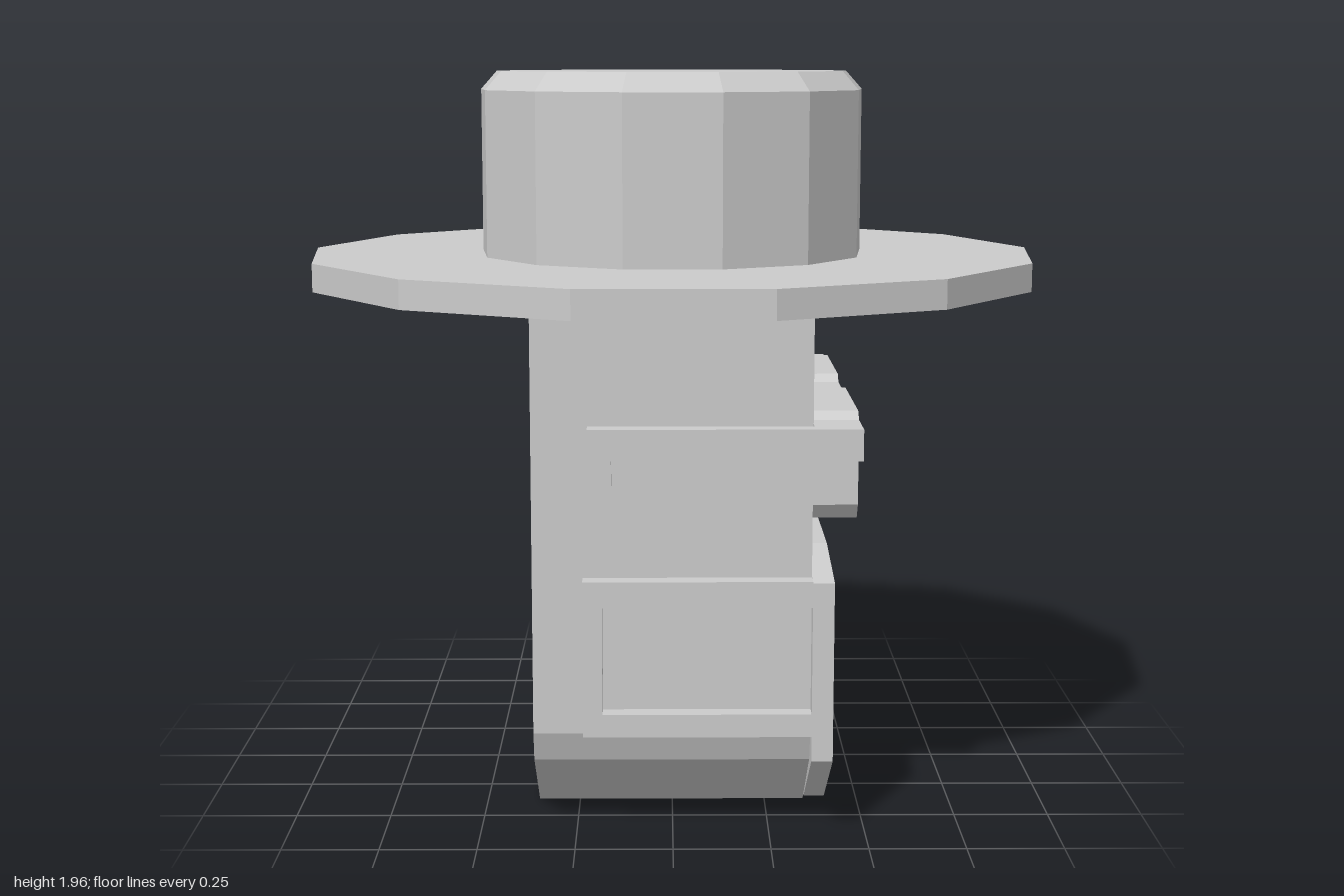
import * as THREE from 'three';

const material = new THREE.MeshStandardMaterial({ color: 0xcccccc, flatShading: true });
const HEAD_Z = 0.03; // the head sits slightly off the hat's centre

const polygon = (points) => new THREE.Shape(points.map(([x, y]) => new THREE.Vector2(x, y)));
const extrude = (points, depth) => new THREE.ExtrudeGeometry(polygon(points), { depth, bevelEnabled: false });

// Complete a half outline (listed bottom to top) by mirroring it
const mirrored = (half) => [...half, ...half.map(([w, y]) => [-w, y]).reverse()];

export function createModel() {
  const group = new THREE.Group();
  const add = (name, geometry) => {
    const mesh = new THREE.Mesh(geometry, material);
    mesh.name = name;
    group.add(mesh);
  };

  // Slab facing +x: a symmetric z-y outline extruded from x0 to x1
  const addSlab = (name, half, x0, x1) =>
    add(name, extrude(mirrored(half), x1 - x0).rotateY(Math.PI / 2).translate(x0, 0, HEAD_Z));

  // Pair of plates on the two sides of the head, inner and outer measured from its middle
  const addSidePair = (name, points, inner, outer) => {
    for (const [side, z] of [['Left', -outer], ['Right', inner]])
      add(name + side, extrude(points, outer - inner).translate(0, 0, HEAD_Z + z));
  };

  // Thirteen-sided hat piece with one corner pointing back
  const addHatPiece = (name, rTop, rBottom, y0, y1) =>
    add(name, new THREE.CylinderGeometry(rTop, rBottom, y1 - y0, 13, 1, false, Math.PI)
      .translate(0, (y0 + y1) / 2, 0.01));

  // Head block with a tapered jaw
  addSlab('head', [[0.34, 0], [0.575, 0.19], [0.605, 0.27], [0.605, 1.36], [0.585, 1.39]], -0.36, 0.355);

  // Hat
  addHatPiece('hatBrim', 1.007, 1.007, 1.385, 1.46);
  addHatPiece('hatCrown', 0.531, 0.531, 1.46, 1.905);
  addHatPiece('hatCrownBevel', 0.486, 0.531, 1.905, 1.955);

  // Face mask: front plate and a C-shaped frame on each cheek
  addSlab('maskFront', [[0.375, 0.02], [0.653, 0.21], [0.653, 0.68], [0.375, 0.72]], 0.355, 0.41);
  addSidePair('maskCheekFrame', [
    [-0.23, 0.275], [0.355, 0.275], [0.355, 0.335], [-0.18, 0.335],
    [-0.18, 0.615], [0.355, 0.615], [0.355, 0.683], [-0.23, 0.683],
  ], 0.6, 0.653);

  // Glasses: joined lenses and bridge, then hooked arms
  addSlab('glassesFront', [
    [0.1, 1.0], [0.1, 0.86], [0.128, 0.82], [0.515, 0.82], [0.545, 0.86], [0.545, 1.0],
    [0.685, 1.0], [0.685, 1.08], [0.545, 1.08], [0.515, 1.1], [0.128, 1.1], [0.1, 1.08],
  ], 0.355, 0.475);
  addSidePair('glassesArm', [
    [-0.215, 0.93], [-0.155, 0.93], [-0.155, 1.0], [0.355, 1.0], [0.355, 1.08], [-0.215, 1.08],
  ], 0.637, 0.685);

  return group;
}
